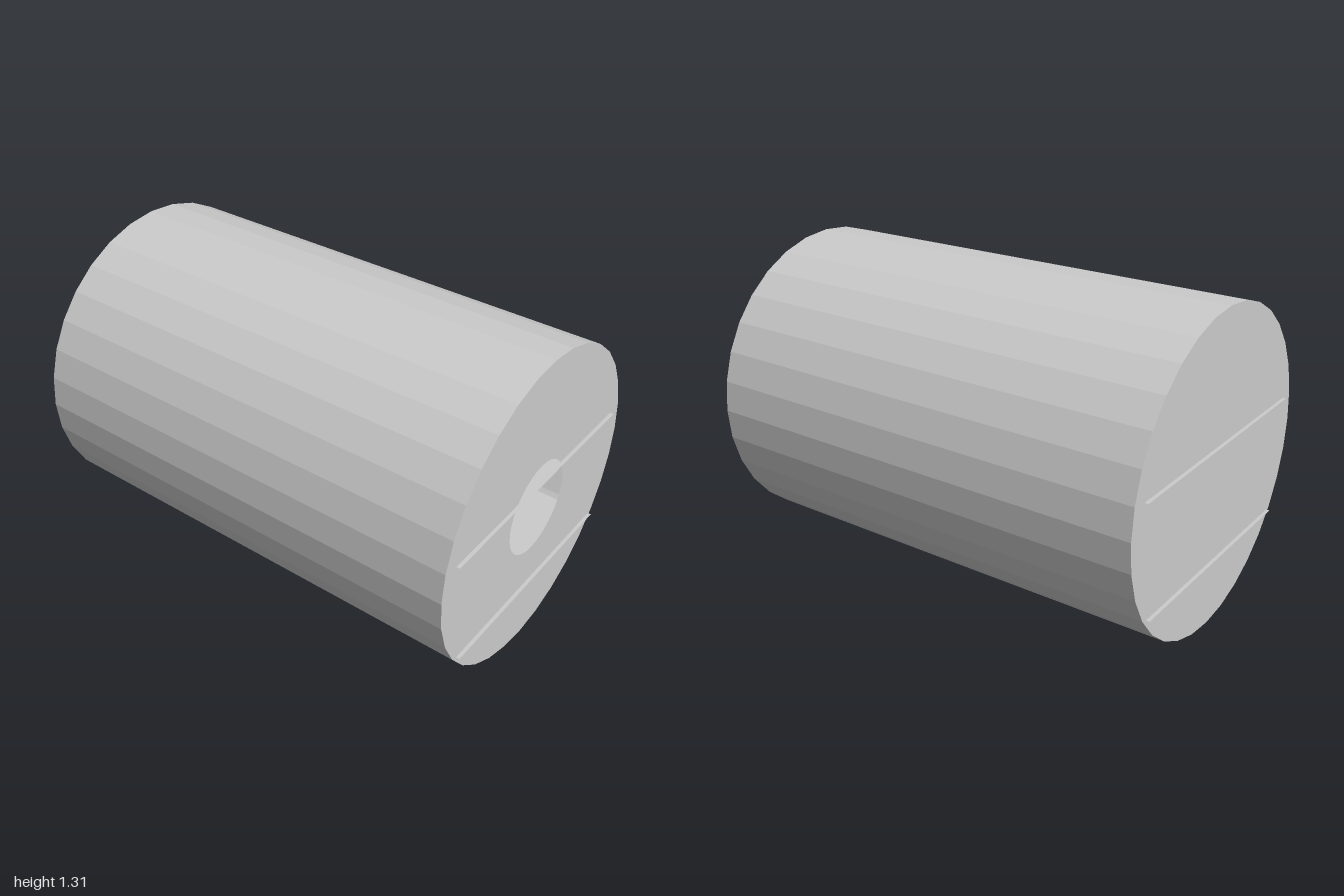
import * as THREE from 'three';

const R = 0.657;        // shell radius, also the height of the axis
const HALF = 0.985;     // half length of the shell
const HOLE = 0.198;     // entrance radius
const SIDES = 32;

export function createModel() {
  const group = new THREE.Group();
  const mat = new THREE.MeshStandardMaterial({
    color: 0xcccccc, flatShading: true, side: THREE.DoubleSide,
  });

  const add = (name, geometry, x, y) => {
    const mesh = new THREE.Mesh(geometry, mat);
    mesh.name = name;
    mesh.position.set(x, y, 0);
    group.add(mesh);
  };

  // Hollow faceted shell lying along x
  const shell = new THREE.CylinderGeometry(R, R, HALF * 2, SIDES, 1, true);
  add('shell', shell.rotateZ(Math.PI / 2), 0, R);

  // Closed end
  add('closedEnd', new THREE.CircleGeometry(R, SIDES).rotateY(-Math.PI / 2), -HALF, R);

  // End with a round entrance
  const ring = new THREE.Shape().absarc(0, 0, R, 0, Math.PI * 2, false);
  ring.holes.push(new THREE.Path().absarc(0, 0, HOLE, 0, Math.PI * 2, true));
  add('entranceEnd', new THREE.ShapeGeometry(ring, SIDES / 2).rotateY(Math.PI / 2), HALF, R);

  // Thin decks running the whole length and just past both ends
  const deck = (name, width, y) =>
    add(name, new THREE.PlaneGeometry(2, width).rotateX(-Math.PI / 2), 0, y);
  deck('upperDeck', 1.155, 0.774);
  deck('lowerDeck', 1.04, 0.284);

  return group;
}
